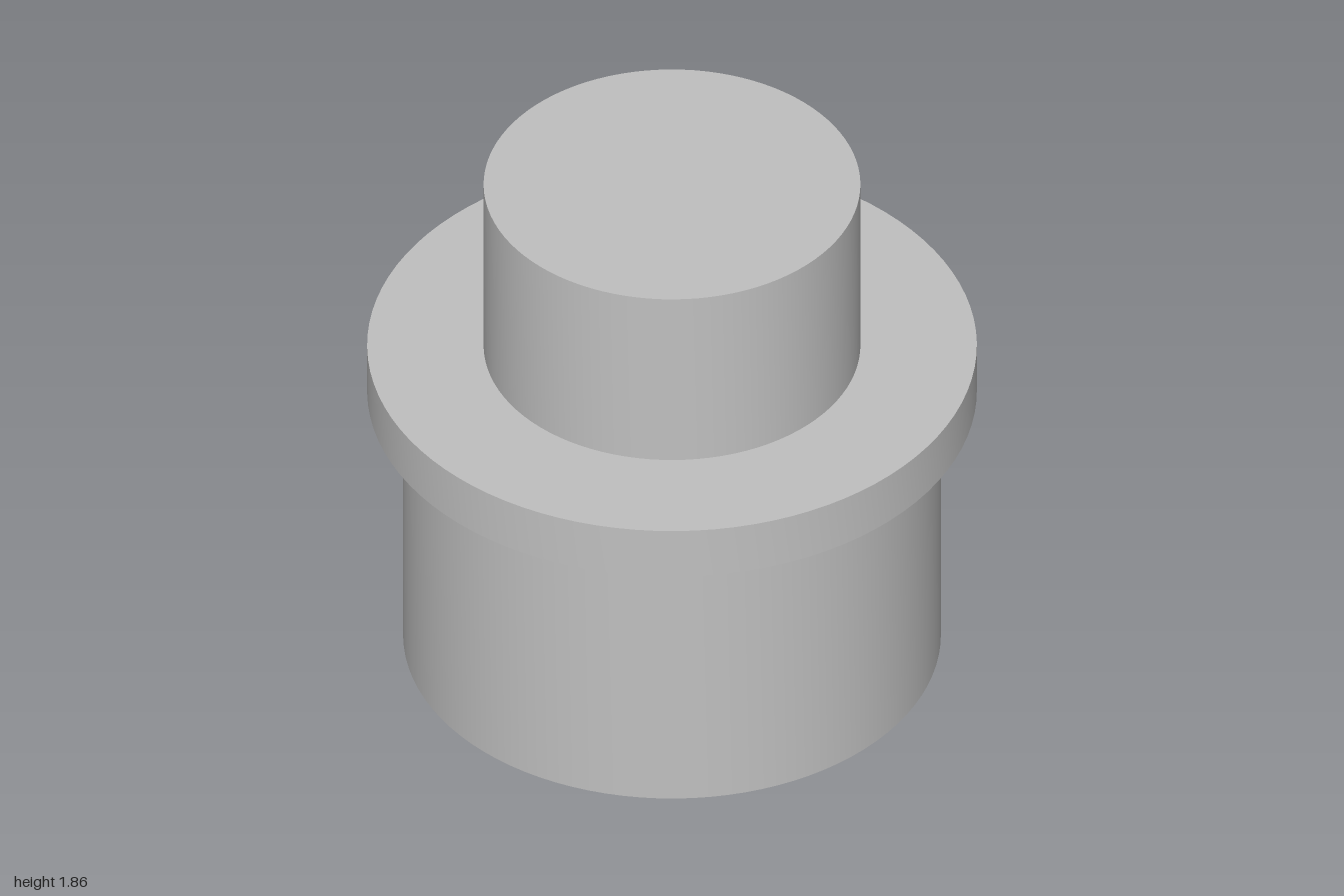
import * as THREE from 'three';
import { toCreasedNormals } from 'three/addons/utils/BufferGeometryUtils.js';

const SEGMENTS = 96;

export function createModel() {
  const group = new THREE.Group();
  group.name = 'flangedPlug';
  const greyMetal = new THREE.MeshStandardMaterial({ color: 0xc0c0c0 });
  greyMetal.name = 'grey metal';

  // Turned part: profile points are [radius, height], outer side running upwards
  function turned(name, profile) {
    const points = profile.map(([r, y]) => new THREE.Vector2(r, y));
    const geometry = toCreasedNormals(new THREE.LatheGeometry(points, SEGMENTS), 0.6);
    const mesh = new THREE.Mesh(geometry, greyMetal);
    mesh.name = name;
    group.add(mesh);
  }

  // Blind bore, from its ceiling down to the mouth
  turned('bore', [[0, 0.437], [0.491, 0.437], [0.491, 0]]);

  // Wide body with its ring-shaped underside
  turned('body', [[0.491, 0], [0.882, 0], [0.882, 1.01]]);

  // Projecting collar
  turned('flange', [[0.882, 1.01], [1, 1.01], [1, 1.198], [0.618, 1.198]]);

  // Narrow solid top
  turned('spigot', [[0.618, 1.198], [0.618, 1.863], [0, 1.863]]);

  return group;
}
